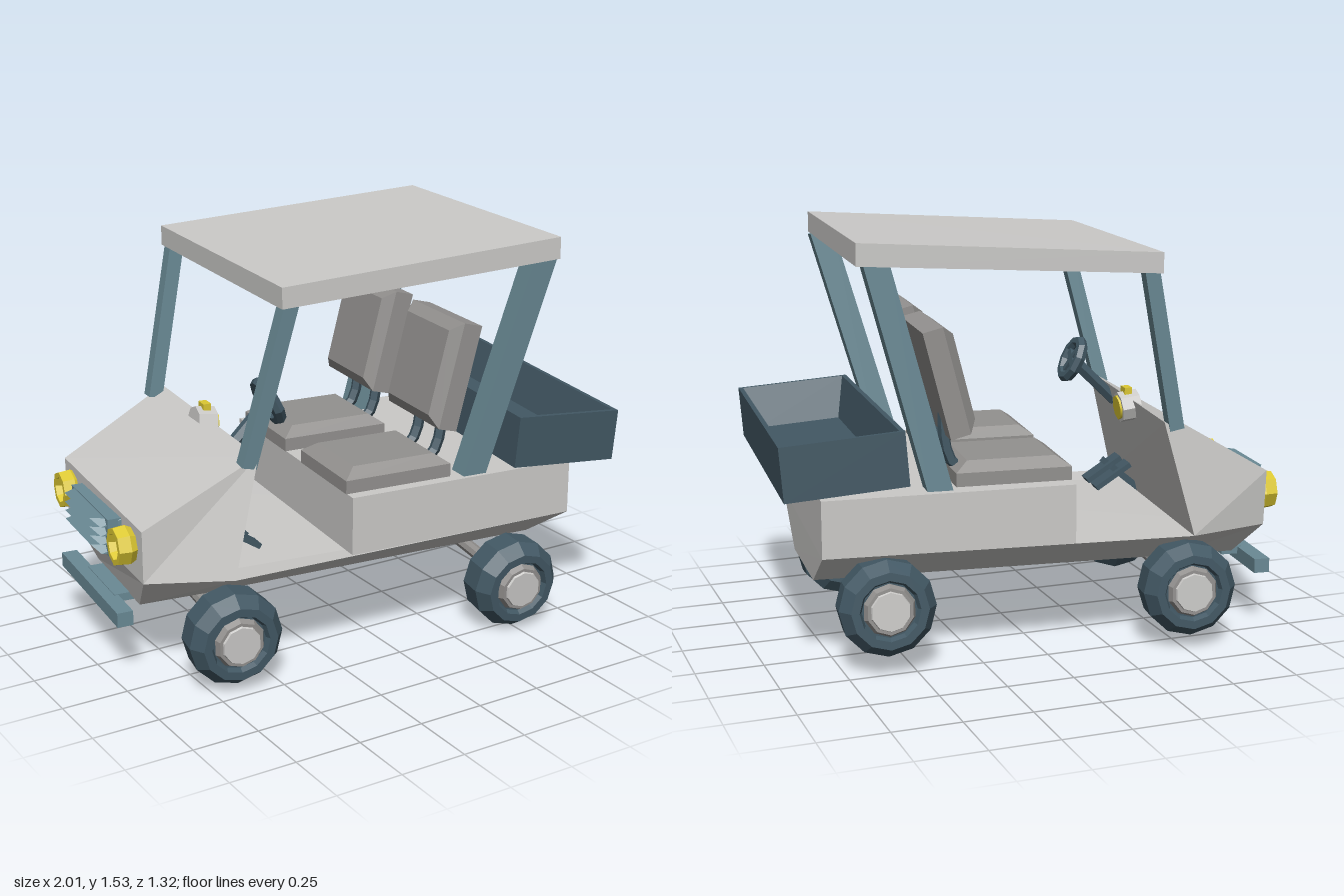
import * as THREE from 'three';

const mat = (name, color) => {
  const m = new THREE.MeshStandardMaterial({ color });
  m.name = name;
  return m;
};

// Rings of corners, listed counter-clockwise from above, joined into a faceted solid
function loft(rings) {
  const pos = [];
  const tri = (a, b, c) => pos.push(...a, ...b, ...c);
  const n = rings[0].length;
  for (let r = 0; r < rings.length - 1; r++) {
    const lo = rings[r], hi = rings[r + 1];
    for (let i = 0; i < n; i++) {
      const j = (i + 1) % n;
      tri(lo[i], lo[j], hi[j]);
      tri(lo[i], hi[j], hi[i]);
    }
  }
  const first = rings[0], last = rings[rings.length - 1];
  for (let i = 1; i < n - 1; i++) {
    tri(first[0], first[i + 1], first[i]);
    tri(last[0], last[i], last[i + 1]);
  }
  const g = new THREE.BufferGeometry();
  g.setAttribute('position', new THREE.Float32BufferAttribute(pos, 3));
  g.computeVertexNormals();
  return g;
}
const rect = (hx, hz, y) => [[hx, y, hz], [hx, y, -hz], [-hx, y, -hz], [-hx, y, hz]];

function flat(geometry) {
  const g = geometry.index ? geometry.toNonIndexed() : geometry;
  g.computeVertexNormals();
  return g;
}

export function createModel() {
  const body = mat('bodyPaint', 0xcbcac8);
  const pad = mat('seatGrey', 0x93918f);
  const dark = mat('darkSlate', 0x425864);
  const frame = mat('frameBlue', 0x6a8a95);
  const yellow = mat('lampYellow', 0xdcc832);

  const root = new THREE.Group();
  const cart = new THREE.Group();
  cart.name = 'cart';
  cart.rotation.y = -0.1;
  root.add(cart);

  const UP = new THREE.Vector3(0, 1, 0);
  const add = (name, geometry, material, parent = cart) => {
    const m = new THREE.Mesh(geometry, material);
    m.name = name;
    parent.add(m);
    return m;
  };
  // Lay a y-aligned mesh between two points
  const span = (mesh, a, b) => {
    const A = new THREE.Vector3(...a), B = new THREE.Vector3(...b);
    mesh.position.copy(A).add(B).multiplyScalar(0.5);
    mesh.quaternion.setFromUnitVectors(UP, B.sub(A).normalize());
    return mesh;
  };
  const dist = (a, b) => Math.hypot(a[0] - b[0], a[1] - b[1], a[2] - b[2]);
  const beam = (name, a, b, w, d, m) => span(add(name, new THREE.BoxGeometry(w, dist(a, b), d), m), a, b);
  const rod = (name, a, b, r, m, sides = 8) =>
    span(add(name, flat(new THREE.CylinderGeometry(r, r, dist(a, b), sides)), m), a, b);

  // Lower tub, tapering to a narrow underside
  add('tub', loft([
    [[0.775, 0.265, 0.21], [0.775, 0.29, -0.28], [-0.6, 0.28, -0.28], [-0.86, 0.27, -0.25], [-0.86, 0.26, 0.2], [-0.6, 0.26, 0.21]],
    [[0.777, 0.44, 0.485], [0.777, 0.44, -0.527], [-0.6, 0.425, -0.525], [-0.915, 0.42, -0.42], [-0.9, 0.41, 0.36], [-0.61, 0.425, 0.505]],
  ]), body);
  // Raised rear deck under the seats
  add('seatBase', loft([
    [[0.777, 0.44, 0.485], [0.777, 0.44, -0.527], [-0.146, 0.43, -0.525], [-0.146, 0.43, 0.49]],
    [[0.777, 0.65, 0.485], [0.777, 0.65, -0.527], [-0.146, 0.65, -0.525], [-0.146, 0.65, 0.49]],
  ]), body);
  // Nose, sloping hood and dash
  add('cowl', loft([
    [[-0.61, 0.425, 0.505], [-0.6, 0.425, -0.525], [-0.915, 0.42, -0.42], [-0.9, 0.41, 0.36]],
    [[-0.505, 0.86, 0.473], [-0.49, 0.85, -0.483], [-0.918, 0.63, -0.43], [-0.9, 0.605, 0.36]],
  ]), body);
  // Canopy, higher at the rear
  add('roof', loft([
    [[0.64, 1.46, 0.57], [0.64, 1.46, -0.527], [-0.46, 1.4, -0.527], [-0.456, 1.4, 0.575]],
    [[0.64, 1.54, 0.57], [0.64, 1.54, -0.527], [-0.46, 1.475, -0.527], [-0.456, 1.475, 0.575]],
  ]), body);

  // Canopy posts
  beam('rearPost', [0.364, 0.63, 0.426], [0.603, 1.47, 0.5], 0.09, 0.085, frame);
  beam('rearPost', [0.341, 0.63, -0.453], [0.564, 1.47, -0.435], 0.09, 0.085, frame);
  beam('frontPost', [-0.538, 0.82, 0.446], [-0.392, 1.42, 0.5], 0.055, 0.055, frame);
  beam('frontPost', [-0.539, 0.82, -0.458], [-0.42, 1.43, -0.485], 0.055, 0.055, frame);

  // Open cargo box with sloping inner walls
  const bed = add('cargoBox', loft([
    rect(0.217, 0.611, -0.097), rect(0.217, 0.611, 0.097),
    rect(0.2, 0.594, 0.097), rect(0.16, 0.54, -0.06),
  ]), dark);
  bed.position.set(0.713, 0.783, -0.054);
  bed.rotation.set(0.029, 0, -0.075);

  // Seats: cushion, tilted backrest and curved brackets
  for (const z of [0.255, -0.265]) {
    const seat = new THREE.Group();
    seat.name = 'seat';
    seat.position.z = z;
    cart.add(seat);
    const cushion = add('cushion',
      loft([rect(0.215, 0.19, 0), rect(0.215, 0.19, 0.05), rect(0.165, 0.145, 0.085)]), pad, seat);
    cushion.position.set(0.065, 0.65, 0);
    const back = add('backrest',
      loft([rect(0.2, 0.193, -0.055), rect(0.2, 0.193, 0.02), rect(0.16, 0.155, 0.055)]), pad, seat);
    back.position.set(0.295, 1.03, 0);
    back.rotation.z = Math.PI / 2 - 0.25;
    const curve = new THREE.QuadraticBezierCurve3(
      new THREE.Vector3(0.2, 0.68, 0), new THREE.Vector3(0.31, 0.68, 0), new THREE.Vector3(0.3, 0.9, 0));
    for (const dz of [-0.08, 0.08]) {
      add('backBracket', flat(new THREE.TubeGeometry(curve, 6, 0.022, 5)), dark, seat).position.z = dz;
    }
  }

  // Axles and wheels; each wheel turns about its axle line
  const tyre = flat(new THREE.LatheGeometry([
    [0, -0.09], [0.125, -0.09], [0.172, -0.05], [0.176, 0.045], [0.14, 0.095], [0.11, 0.095], [0.1, 0.075], [0, 0.075],
  ].map(p => new THREE.Vector2(...p)), 12));
  const rim = flat(new THREE.CylinderGeometry(0.085, 0.1, 0.03, 10));
  const cap = flat(new THREE.CylinderGeometry(0.07, 0.075, 0.012, 10));
  const axles = [
    ['rear', [0.556, 0.185, 0.437], [0.552, 0.25, -0.508]],
    ['front', [-0.608, 0.2, 0.453], [-0.578, 0.23, -0.505]],
  ];
  for (const [name, a, b] of axles) {
    rod(name + 'Axle', a, b, 0.026, pad);
    for (const [hub, other] of [[a, b], [b, a]]) {
      const wheel = new THREE.Group();
      wheel.name = name + 'Wheel';
      wheel.position.set(...hub);
      const out = new THREE.Vector3(...hub).sub(new THREE.Vector3(...other)).normalize();
      wheel.quaternion.setFromUnitVectors(UP, out);
      add('tyre', tyre, dark, wheel);
      add('rim', rim, pad, wheel).position.y = 0.082;
      add('hubcap', cap, body, wheel).position.y = 0.099;
      cart.add(wheel);
    }
  }

  // Headlights: a lamp ring with a recessed lens
  const lamp = flat(new THREE.LatheGeometry([
    [0, 0], [0.06, 0], [0.075, 0.03], [0.07, 0.075], [0.05, 0.075], [0.042, 0.05], [0, 0.05],
  ].map(p => new THREE.Vector2(...p)), 8));
  for (const [y, z] of [[0.525, 0.255], [0.535, -0.35]]) {
    const light = add('headlight', lamp, yellow);
    light.position.set(-0.895, y, z);
    light.rotation.z = Math.PI / 2;
  }

  // Grille: backing plate and wedge slats
  add('grillePlate', new THREE.BoxGeometry(0.06, 0.14, 0.4), frame).position.set(-0.925, 0.52, -0.04);
  for (let i = 0; i < 4; i++) {
    const y = 0.47 + i * 0.034;
    add('grilleSlat', loft([
      [[-0.9, y - 0.014, 0.165], [-0.9, y - 0.014, -0.245], [-0.975, y - 0.014, -0.22], [-0.975, y - 0.014, 0.14]],
      [[-0.9, y + 0.014, 0.165], [-0.9, y + 0.014, -0.245], [-1.003, y + 0.014, -0.18], [-1.003, y + 0.014, 0.1]],
    ]), frame);
  }
  // Front bumper and its stay
  add('bumper', new THREE.BoxGeometry(0.06, 0.055, 0.63), frame).position.set(-0.935, 0.24, -0.06);
  add('bumperStay', new THREE.BoxGeometry(0.08, 0.03, 0.3), frame).position.set(-0.88, 0.255, -0.05);

  // Steering column and wheel
  const top = [-0.35, 0.965, 0.215];
  rod('steeringColumn', [-0.53, 0.79, 0.225], top, 0.026, dark, 6);
  const axis = new THREE.Vector3(0.9, 0.42, 0).normalize();
  const steer = add('steeringWheel', flat(new THREE.TorusGeometry(0.077, 0.022, 6, 10)), dark);
  steer.position.set(...top);
  steer.quaternion.setFromUnitVectors(new THREE.Vector3(0, 0, 1), axis);
  add('steeringSpoke', new THREE.BoxGeometry(0.15, 0.025, 0.02), dark, steer);
  add('steeringSpoke', new THREE.BoxGeometry(0.025, 0.15, 0.02), dark, steer);

  // Dash gauge
  const gauge = rod('gaugeHousing', [-0.53, 0.83, -0.06], [-0.455, 0.82, -0.06], 0.06, body);
  add('gaugeDial', new THREE.CylinderGeometry(0.048, 0.048, 0.008, 8), yellow, gauge).position.y = 0.042;
  add('gaugeLamp', new THREE.BoxGeometry(0.03, 0.05, 0.05), yellow).position.set(-0.485, 0.875, -0.06);

  // Pedals
  for (const z of [0.16, 0.28]) {
    beam('pedalArm', [-0.62, 0.43, z], [-0.5, 0.53, z], 0.025, 0.025, dark);
    beam('pedalPlate', [-0.57, 0.54, z], [-0.43, 0.45, z], 0.02, 0.07, dark);
  }

  return root;
}
